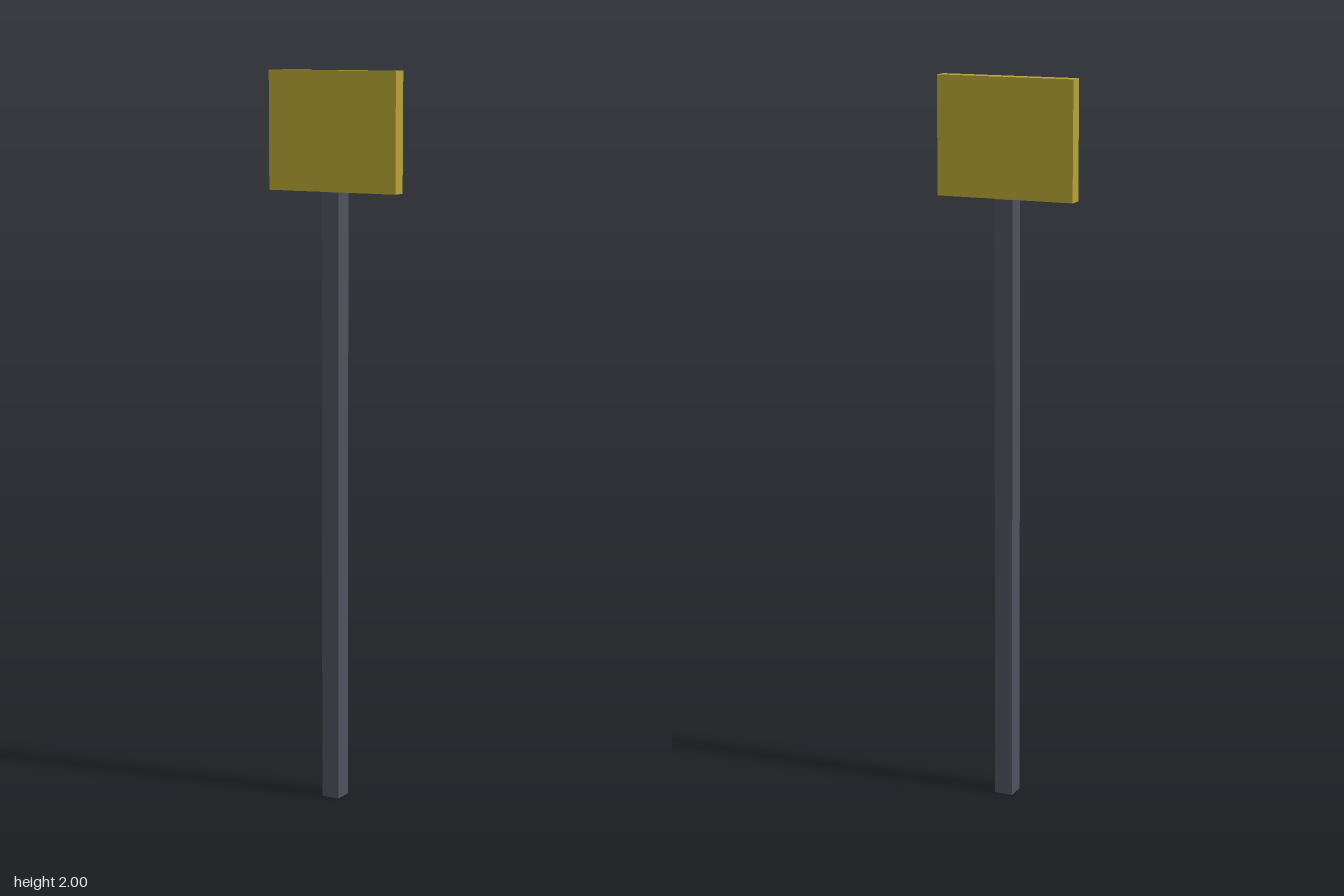
import * as THREE from 'three';

const POST_HEIGHT = 1.68;
const TOTAL_HEIGHT = 2;

const material = (name, color) => {
  const m = new THREE.MeshStandardMaterial({ color });
  m.name = name;
  return m;
};

// Box standing on the given base height
function box(name, width, height, depth, baseY, mat) {
  const mesh = new THREE.Mesh(new THREE.BoxGeometry(width, height, depth), mat);
  mesh.name = name;
  mesh.position.y = baseY + height / 2;
  return mesh;
}

export function createModel() {
  const model = new THREE.Group();
  model.name = 'signpost';

  const slateGrey = material('slate grey', 0x4f525d);
  const mustardYellow = material('mustard yellow', 0xb7a336);

  // Square post, with the sign board resting on its top end
  model.add(box('post', 0.052, POST_HEIGHT, 0.052, 0, slateGrey));
  model.add(box('signBoard', 0.388, TOTAL_HEIGHT - POST_HEIGHT, 0.04, POST_HEIGHT, mustardYellow));

  return model;
}
